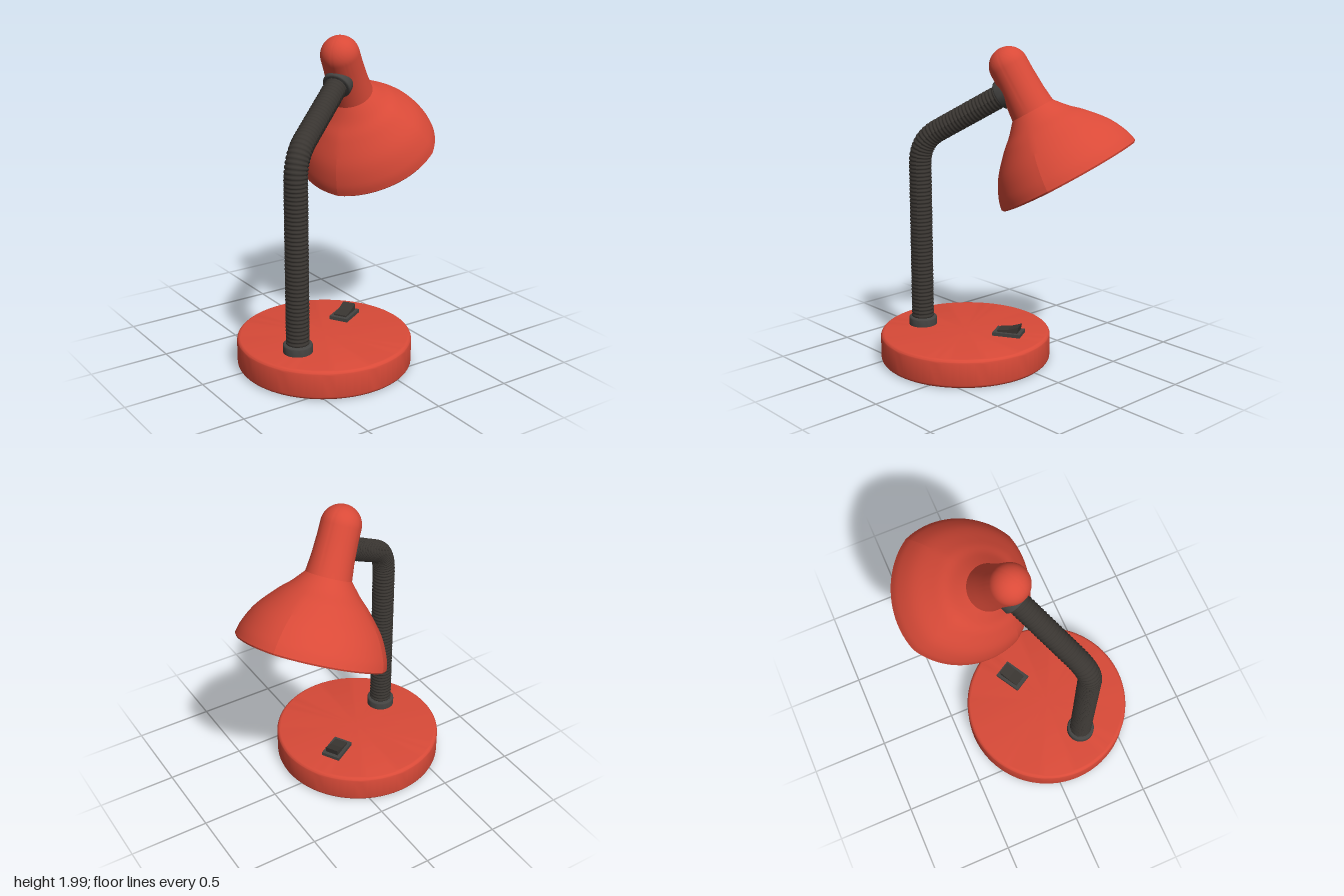
import * as THREE from 'three';
import { toCreasedNormals } from 'three/addons/utils/BufferGeometryUtils.js';

const paint = (color) => new THREE.MeshStandardMaterial({ color });
const V2 = (x, y) => new THREE.Vector2(x, y);
const V3 = (x, y, z = 0) => new THREE.Vector3(x, y, z);

function add(parent, name, geometry, material) {
  const mesh = new THREE.Mesh(geometry, material);
  mesh.name = name;
  parent.add(mesh);
  return mesh;
}

// Quarter-round corner points for lathe profiles
function arc(cx, cy, r, from, to, n = 6) {
  return Array.from({ length: n + 1 }, (_, i) => {
    const a = THREE.MathUtils.degToRad(from + ((to - from) * i) / n);
    return V2(Math.max(0, cx + r * Math.cos(a)), cy + r * Math.sin(a));
  });
}

const lathe = (points, sides = 48, crease = 0.4) =>
  toCreasedNormals(new THREE.LatheGeometry(points, sides), crease);

// Shade skin: turned profile, flattened slightly between its four ridges
function shadeGeometry(points) {
  const geometry = new THREE.LatheGeometry(points, 80);
  const p = geometry.attributes.position;
  for (let i = 0; i < p.count; i++) {
    const x = p.getX(i), z = p.getZ(i);
    const flat = THREE.MathUtils.smoothstep(Math.hypot(x, z), 0.15, 0.32);
    const k = 1 - 0.045 * flat * Math.abs(Math.sin(2 * Math.atan2(x, z)));
    p.setX(i, x * k);
    p.setZ(i, z * k);
  }
  return toCreasedNormals(geometry, 0.2);
}

// Ribbed hose: a tube whose rings swell and shrink in turn
function hoseGeometry(path, radius, ribs) {
  const n = ribs * 4;
  const geometry = new THREE.TubeGeometry(path, n, radius, 18);
  const p = geometry.attributes.position;
  const v = V3(0, 0);
  for (let i = 0; i <= n; i++) {
    const centre = path.getPointAt(i / n);
    const k = [1, 0.98, 0.89, 0.98][i % 4];
    for (let j = 0; j <= 18; j++) {
      const id = i * 19 + j;
      v.fromBufferAttribute(p, id).sub(centre).multiplyScalar(k).add(centre);
      p.setXYZ(id, v.x, v.y, v.z);
    }
  }
  geometry.computeVertexNormals();
  return geometry;
}

export function createModel() {
  const red = paint(0xd94a38);
  const dark = paint(0x3a3632);
  const grey = paint(0x444341);
  const white = paint(0xe2dada);
  const black = paint(0x0a0a0a);
  const brass = paint(0x9a8455);

  const model = new THREE.Group();
  model.name = 'deskLamp';

  // The lamp lies in one upright plane, turned on its base
  const lamp = new THREE.Group();
  lamp.name = 'lamp';
  lamp.position.set(-0.2125, 0, 0.125);
  lamp.rotation.y = Math.PI / 6;
  model.add(lamp);

  // Base
  add(lamp, 'base', lathe([
    V2(0, 0.005), V2(0.5, 0.005),
    ...arc(0.515, 0.03, 0.025, -90, 0),
    ...arc(0.515, 0.162, 0.025, 0, 90),
    V2(0, 0.187),
  ], 72), red);

  // Arm and head
  const arm = new THREE.Group();
  arm.name = 'arm';
  arm.position.z = -0.025;
  lamp.add(arm);

  const collar = lathe([
    V2(0, 0), V2(0.09, 0), ...arc(0.078, 0.043, 0.012, 0, 90), V2(0, 0.055),
  ], 32);
  add(arm, 'baseCollar', collar, grey).position.set(-0.3, 0.185, 0);

  const slope = V3(Math.cos(Math.PI / 6), 0.5);
  const joint = V3(0.345, 1.767).addScaledVector(slope, -0.1);
  const bend = V3(-0.3, 1.395);
  const bendStart = V3(-0.3, 1.25);
  const bendEnd = bend.clone().addScaledVector(slope, 0.14);
  const path = new THREE.CurvePath();
  path.add(new THREE.LineCurve3(V3(-0.3, 0.2), bendStart));
  path.add(new THREE.QuadraticBezierCurve3(bendStart, bend, bendEnd));
  path.add(new THREE.LineCurve3(bendEnd, joint));
  add(arm, 'ribbedHose', hoseGeometry(path, 0.072, 74), dark);

  const headCollar = add(arm, 'headCollar', collar, grey);
  headCollar.position.copy(joint).addScaledVector(slope, 0.015);
  headCollar.rotation.z = Math.PI / 6 + Math.PI / 2; // rounded end faces the hose

  const head = new THREE.Group();
  head.name = 'head';
  head.position.set(0.28, 1.88, 0);
  head.rotation.z = Math.PI / 6;
  arm.add(head);

  // Shade: flared dome, neck and round cap
  const flare = new THREE.SplineCurve([
    V2(0.465, -0.74), V2(0.446, -0.67), V2(0.387, -0.56),
    V2(0.285, -0.445), V2(0.205, -0.375), V2(0.138, -0.3),
  ]).getPoints(24);
  add(head, 'shade', shadeGeometry([
    V2(0.43, -0.74), V2(0.435, -0.75), V2(0.458, -0.75), ...flare,
    V2(0.127, -0.2), V2(0.121, -0.08), ...arc(0, 0, 0.12, 0, 90, 16),
  ]), red);
  add(head, 'shadeLining', shadeGeometry([
    V2(0, -0.3), V2(0.105, -0.31),
    ...flare.slice(0, -1).reverse().map((q) => V2(q.x - 0.033, Math.max(q.y - 0.015, -0.74))),
    V2(0.43, -0.74),
  ]), white);

  // Bulb and socket
  const socket = add(head, 'socket', new THREE.CylinderGeometry(0.1, 0.1, 0.1, 24), red);
  socket.position.y = -0.35;
  const cap = add(head, 'bulbCap', new THREE.CylinderGeometry(0.075, 0.08, 0.14, 24), brass);
  cap.position.y = -0.42;
  add(head, 'bulb', new THREE.SphereGeometry(0.165, 24, 16), black).position.y = -0.6;

  // Rocker switch
  const power = new THREE.Group();
  power.name = 'switch';
  power.position.set(0.29, 0.185, 0);
  lamp.add(power);
  add(power, 'switchPlate', new THREE.BoxGeometry(0.18, 0.03, 0.125), grey).position.y = 0.009;
  const outline = new THREE.Shape([
    V2(-0.065, 0.015), V2(0.065, 0.015), V2(0.075, 0.065), V2(0.005, 0.042), V2(-0.065, 0.034),
  ]);
  const rocker = new THREE.ExtrudeGeometry(outline, { depth: 0.085, bevelEnabled: false });
  add(power, 'switchRocker', rocker, dark).position.z = -0.0425;

  return model;
}
